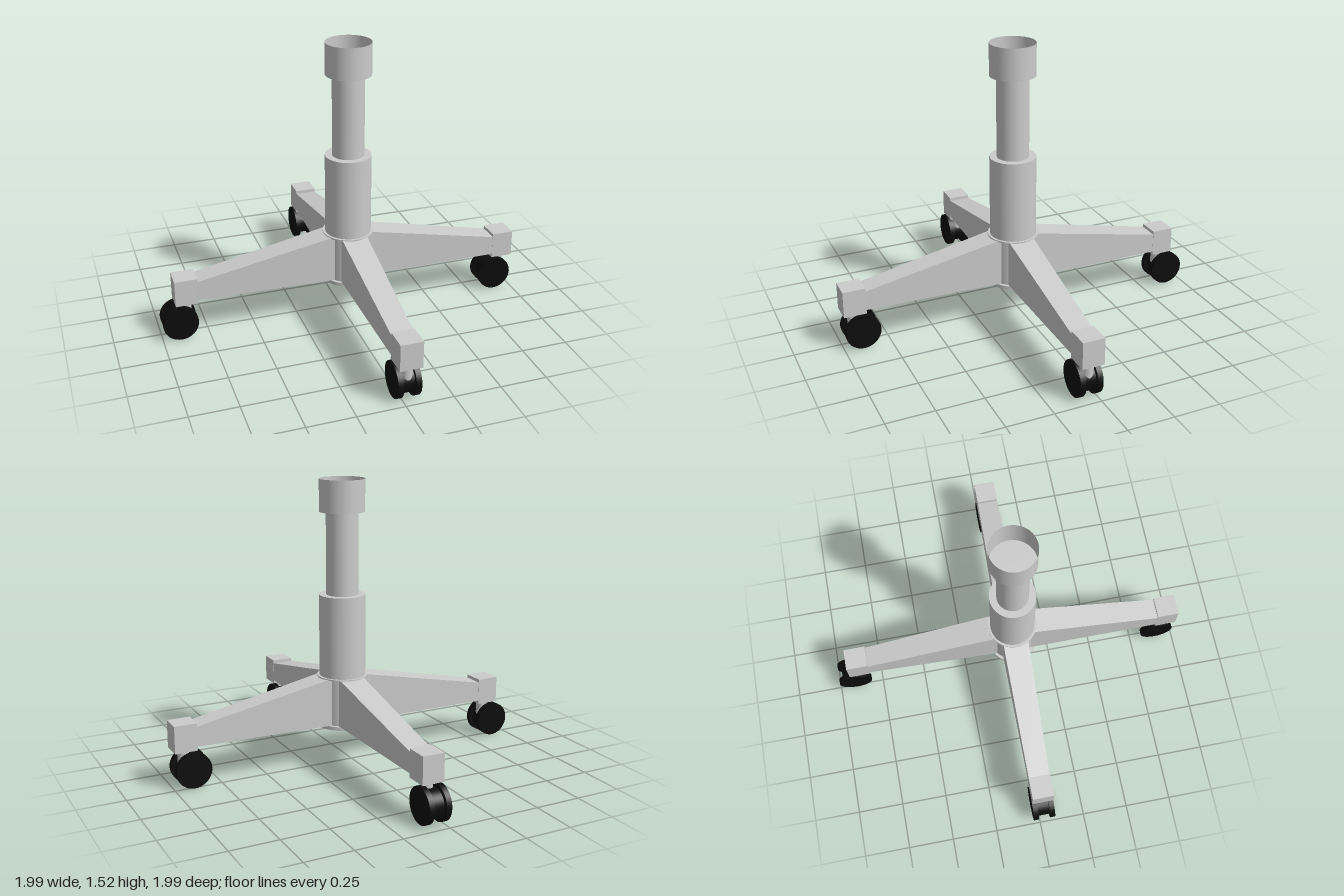
import * as THREE from 'three';

const grey = new THREE.MeshStandardMaterial({ color: 0xcccccc });
const greyDouble = new THREE.MeshStandardMaterial({ color: 0xcccccc, side: THREE.DoubleSide });
const black = new THREE.MeshStandardMaterial({ color: 0x0c0c0c });

function add(parent, name, geometry, material = grey) {
  const mesh = new THREE.Mesh(geometry, material);
  mesh.name = name;
  parent.add(mesh);
  return mesh;
}

// Upright cylinder between two heights
function post(parent, name, radius, y0, y1, open = false) {
  const geo = new THREE.CylinderGeometry(radius, radius, y1 - y0, 48, 1, open);
  geo.translate(0, (y0 + y1) / 2, 0);
  return add(parent, name, geo, open ? greyDouble : grey);
}

// Arm beam: one side straight, the other tapering, top sloping down outwards
function armGeometry() {
  const geo = new THREE.BoxGeometry(1, 1, 1);
  const p = geo.attributes.position;
  const z0 = 0.08, z1 = 0.86;
  for (let i = 0; i < p.count; i++) {
    const t = p.getZ(i) + 0.5;
    const x = p.getX(i) < 0 ? -0.07 : 0.07 - 0.025 * t;
    const y = p.getY(i) < 0 ? 0.22 : 0.484 - 0.161 * t;
    p.setXYZ(i, x, y, z0 + (z1 - z0) * t);
  }
  geo.computeVertexNormals();
  return geo;
}

// Twin-wheel caster; trail is the direction the wheels sit behind the stem
function caster(trail) {
  const group = new THREE.Group();
  group.name = 'caster';
  const stem = new THREE.CylinderGeometry(0.03, 0.03, 0.11, 24);
  stem.translate(0, 0.15, 0);
  add(group, 'casterStem', stem);
  const disc = (name, radius, width, x) => {
    const geo = new THREE.CylinderGeometry(radius, radius, width, 40);
    geo.rotateZ(Math.PI / 2);
    geo.translate(x, 0.094, trail * 0.038);
    add(group, name, geo, black);
  };
  disc('wheelCore', 0.073, 0.08, 0);
  for (const side of [-1, 1]) disc('wheel', 0.094, 0.028, side * 0.046);
  return group;
}

export function createModel() {
  const model = new THREE.Group();
  model.name = 'swivelBase';
  const base = new THREE.Group();
  base.name = 'base';
  base.position.set(0.036, 0, 0.036);
  model.add(base);

  // Central hub and column
  post(base, 'hubBottomFlange', 0.136, 0.2, 0.22);
  post(base, 'hub', 0.12, 0.21, 0.475);
  post(base, 'hubTopFlange', 0.136, 0.472, 0.48);
  post(base, 'lowerSleeve', 0.123, 0.48, 0.918);
  post(base, 'innerTube', 0.085, 0.9, 1.357);

  // Open cup at the top of the column
  post(base, 'topCup', 0.12, 1.355, 1.525, true);
  const floor = new THREE.CircleGeometry(0.12, 48);
  floor.rotateX(-Math.PI / 2);
  floor.translate(0, 1.355, 0);
  add(base, 'topCupFloor', floor, greyDouble);

  // Four arms, each with an end block and a caster
  for (let i = 0; i < 4; i++) {
    const leg = new THREE.Group();
    leg.name = 'leg';
    leg.rotation.y = i * Math.PI / 2;
    add(leg, 'arm', armGeometry());
    const block = new THREE.BoxGeometry(0.118, 0.145, 0.12);
    block.translate(-0.0125, 0.2725, 0.9);
    add(leg, 'endBlock', block);
    const wheelSet = caster(i < 2 ? -1 : 1);
    wheelSet.position.set(-0.0125, 0, 0.9);
    leg.add(wheelSet);
    base.add(leg);
  }
  return model;
}
